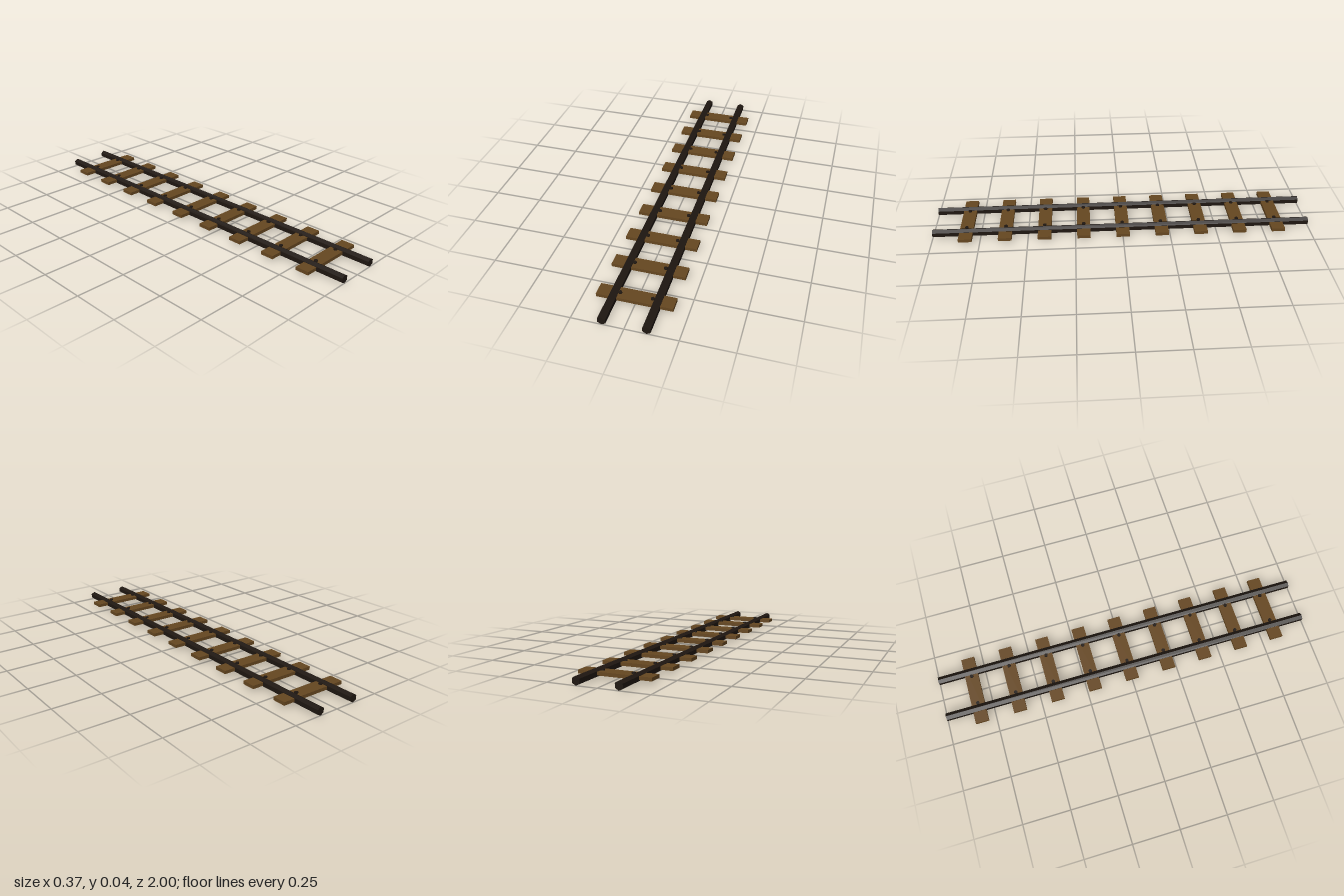
import * as THREE from 'three';

export function createModel() {
  const track = new THREE.Group();
  track.name = 'railwayTrack';
  const wood = new THREE.MeshStandardMaterial({ color: 0x664720, flatShading: true });
  const iron = new THREE.MeshStandardMaterial({ color: 0x1f1711, flatShading: true });

  const add = (name, geometry, material, x, y, z) => {
    const mesh = new THREE.Mesh(geometry, material);
    mesh.name = name;
    mesh.position.set(x, y, z);
    track.add(mesh);
  };

  // Hexagonal rail bar along z, with a corner pointing up
  const railRadius = 0.0215;
  const railGeo = new THREE.CylinderGeometry(railRadius, railRadius, 2, 6).rotateX(Math.PI / 2);
  const sleeperGeo = new THREE.BoxGeometry(0.366, 0.017, 0.07);
  const spikeGeo = new THREE.CylinderGeometry(0.0095, 0.0095, 0.008, 8);

  // Two rails
  for (const side of [-1, 1]) {
    add(side > 0 ? 'leftRail' : 'rightRail', railGeo, iron, side * 0.1035, railRadius, 0);
  }

  // Nine sleepers, each with a spike head on the inner side of both rails
  for (let i = -4; i <= 4; i++) {
    const z = i * 0.206;
    add('sleeper', sleeperGeo, wood, 0, 0.0225, z);
    for (const side of [-1, 1]) add('spike', spikeGeo, iron, side * 0.0772, 0.033, z);
  }
  return track;
}
